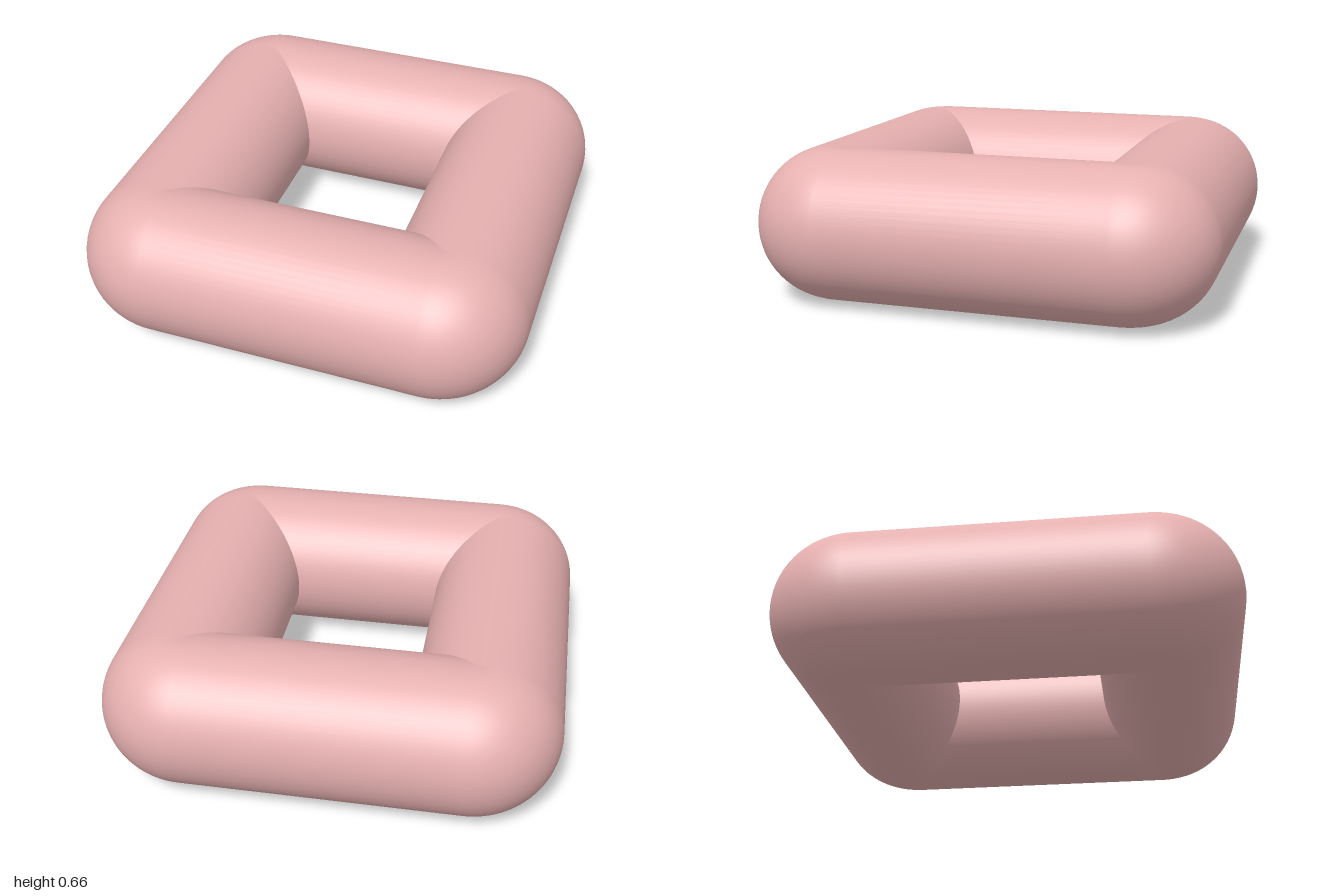
import * as THREE from 'three';

const HALF_X = 0.982, HALF_Z = 1.0;   // outer half sizes of the ring
const RADIUS = 0.322, HEIGHT = 0.328; // half width and half height of the tube
const BEND = 0.06;                    // centre line radius at the corners
const SIDES = 72, STEPS = 20;         // around the tube, per corner

// Sweeps a round section along a rounded rectangle: rounded outside, mitred inside.
function frameGeometry() {
  const positions = [], normals = [], index = [];
  const cx = HALF_X - RADIUS - BEND, cz = HALF_Z - RADIUS - BEND;
  const normal = new THREE.Vector3();

  for (let corner = 0; corner < 4; corner++) {
    const sx = corner === 0 || corner === 3 ? 1 : -1;
    const sz = corner < 2 ? 1 : -1;
    for (let i = 0; i <= STEPS; i++) {
      const a = (corner + i / STEPS) * Math.PI / 2;
      const dx = Math.cos(a), dz = Math.sin(a);
      for (let j = 0; j <= SIDES; j++) {
        const phi = j / SIDES * Math.PI * 2;
        const reach = BEND + RADIUS * Math.cos(phi);
        // beyond the bend centre the section lies on the mitre line
        const x = sx * cx + reach * (reach > 0 ? dx : sx);
        const z = sz * cz + reach * (reach > 0 ? dz : sz);
        positions.push(x, HEIGHT + HEIGHT * Math.sin(phi), z);
        const out = Math.cos(phi) / RADIUS;
        normal.set(out * dx, Math.sin(phi) / HEIGHT, out * dz).normalize();
        normals.push(normal.x, normal.y, normal.z);
      }
    }
  }

  // Joins neighbouring sections, the straight runs included
  const rings = 4 * (STEPS + 1), row = SIDES + 1;
  const onMitre = (j) => BEND + RADIUS * Math.cos(j / SIDES * Math.PI * 2) <= 0;
  for (let i = 0; i < rings; i++) {
    const straight = i % (STEPS + 1) === STEPS;
    const next = (i + 1) % rings;
    for (let j = 0; j < SIDES; j++) {
      const a = i * row + j, b = a + 1, c = next * row + j, d = c + 1;
      if (straight || !onMitre(j)) index.push(a, b, c);
      if (straight || !onMitre(j + 1)) index.push(b, d, c);
      // the narrow cells at the mitre ends collapse to one triangle
    }
  }

  const geometry = new THREE.BufferGeometry();
  geometry.setAttribute('position', new THREE.Float32BufferAttribute(positions, 3));
  geometry.setAttribute('normal', new THREE.Float32BufferAttribute(normals, 3));
  geometry.setIndex(index);
  return geometry;
}

export function createModel() {
  const group = new THREE.Group();
  group.name = 'squareRing';
  const pink = new THREE.MeshStandardMaterial({ color: 0xe6b0b0 });
  const ring = new THREE.Mesh(frameGeometry(), pink);
  ring.name = 'roundedTubeFrame';
  group.add(ring);
  return group;
}
